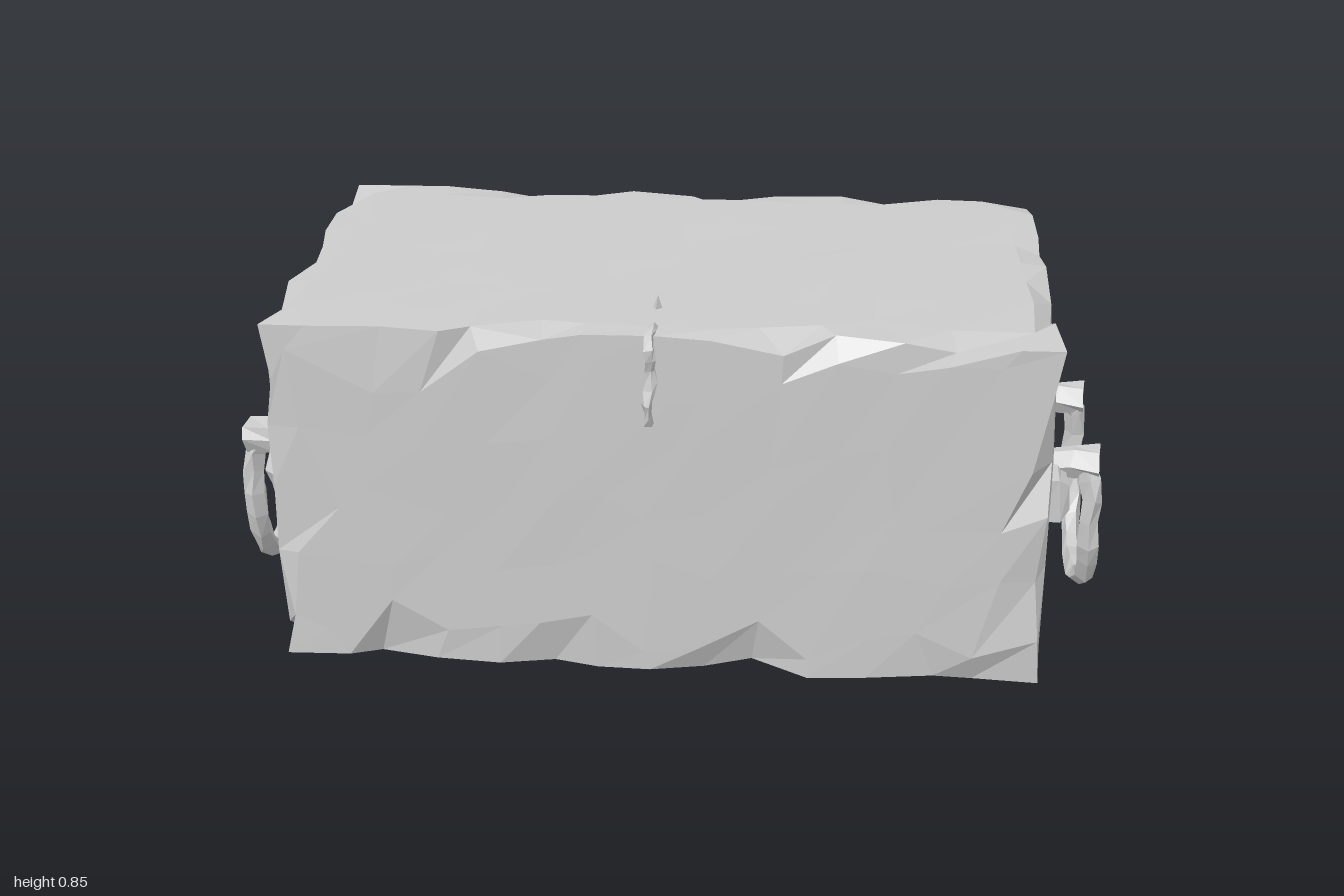
import * as THREE from 'three';
import { mergeVertices } from 'three/addons/utils/BufferGeometryUtils.js';

const material = new THREE.MeshStandardMaterial({ color: 0xcccccc, flatShading: true, side: THREE.DoubleSide });

// small seeded generator, 0..1
function seeded(seed) {
  return () => {
    seed = (seed * 16807) % 2147483647;
    return seed / 2147483647;
  };
}

// weld the corners, move each one by a rule, then split into flat facets
function facet(geometry, move) {
  geometry.deleteAttribute('normal');
  geometry.deleteAttribute('uv');
  const welded = mergeVertices(geometry, 1e-4);
  const pos = welded.attributes.position;
  const v = new THREE.Vector3();
  for (let i = 0; i < pos.count; i++) {
    move(v.fromBufferAttribute(pos, i));
    pos.setXYZ(i, v.x, v.y, v.z);
  }
  const flat = welded.toNonIndexed();
  flat.computeVertexNormals();
  return flat;
}

function rough(geometry, amount, seed) {
  const rnd = seeded(seed);
  return facet(geometry, (v) => {
    for (const a of ['x', 'y', 'z']) v[a] += (rnd() * 2 - 1) * amount;
  });
}

function part(name, geometry, x = 0, y = 0, z = 0) {
  const mesh = new THREE.Mesh(geometry, material);
  mesh.name = name;
  mesh.position.set(x, y, z);
  return mesh;
}

// block with flat faces and chipped, worn edges
function chippedBlock(size, segments) {
  const rnd = seeded(4711);
  const axes = ['x', 'y', 'z'];
  return facet(new THREE.BoxGeometry(...size, ...segments), (v) => {
    const p = v.toArray();
    const outer = p.map((c, i) => Math.abs(Math.abs(c) - size[i] / 2) < 1e-4);
    const count = outer.filter(Boolean).length;
    axes.forEach((a, i) => {
      const half = size[i] / 2;
      const step = size[i] / segments[i];
      const sign = Math.sign(p[i]);
      if (outer[i]) {
        const wear = count === 1 ? 0.003 * rnd() : count === 2 ? 0.002 + 0.045 * rnd() ** 3 : 0.018 * rnd();
        v[a] = sign * (half - wear);
      } else if (count === 1 && Math.abs(p[i]) > half - 1.5 * step) {
        v[a] = sign * (half - 0.05 - 0.11 * rnd() ** 2);
      } else {
        v[a] += (rnd() - 0.5) * 0.07;
      }
    });
  });
}

// hanging handle on the +x end
function createHandle(seed) {
  const handle = new THREE.Group();

  // wavy mounting plate, outline as [z, y]
  const outline = [[0.28, 0.43], [0.13, 0.43], [0.03, 0.35], [-0.04, 0.33], [-0.14, 0.34], [-0.16, 0.46], [-0.22, 0.48],
    [-0.31, 0.39], [-0.29, 0.33], [-0.15, 0.29], [-0.09, 0.23], [0.0, 0.21], [0.1, 0.25], [0.13, 0.33], [0.28, 0.33]];
  const shape = new THREE.Shape(outline.map(([z, y]) => new THREE.Vector2(-z, y)));
  const plate = new THREE.ExtrudeGeometry(shape, {
    depth: 0.045, bevelThickness: 0.02, bevelSize: 0.02, bevelOffset: -0.02, bevelSegments: 1,
  });
  plate.rotateY(Math.PI / 2);
  handle.add(part('handlePlate', rough(plate, 0.007, seed), 0.84, 0, 0));

  // boss in the middle of the plate
  const boss = new THREE.IcosahedronGeometry(1, 1);
  boss.scale(0.035, 0.045, 0.085);
  handle.add(part('plateBoss', rough(boss, 0.008, seed + 1), 0.9, 0.28, 0));

  // hinge lugs
  for (const z of [0.17, -0.185]) {
    const lug = new THREE.CylinderGeometry(0.034, 0.042, 0.12, 6, 2);
    lug.rotateZ(Math.PI / 2);
    handle.add(part('hingeLug', rough(lug, 0.008, seed + 2), 0.915, 0.425, z));
  }

  // swinging bail, as [x, y, z]
  const path = new THREE.CatmullRomCurve3([
    [0.94, 0.44, 0.165], [0.965, 0.37, 0.185], [0.965, 0.25, 0.195], [0.97, 0.14, 0.155], [0.97, 0.08, 0.06],
    [0.97, 0.075, -0.08], [0.97, 0.14, -0.16], [0.965, 0.25, -0.195], [0.965, 0.37, -0.19], [0.94, 0.44, -0.18],
  ].map((p) => new THREE.Vector3(...p)));
  handle.add(part('handleBail', rough(new THREE.TubeGeometry(path, 18, 0.023, 5), 0.006, seed + 3)));
  return handle;
}

export function createModel() {
  const model = new THREE.Group();
  model.name = 'chest';
  model.add(part('chestBody', chippedBlock([1.7, 0.82, 0.95], [14, 6, 8]), 0, 0.41, -0.015));

  // one handle on each end, turned half way round
  for (const [name, angle, seed] of [['leftHandle', 0, 31], ['rightHandle', Math.PI, 97]]) {
    const handle = createHandle(seed);
    handle.name = name;
    handle.rotation.y = angle;
    model.add(handle);
  }

  // narrow ragged latch over the front edge
  const strip = new THREE.CatmullRomCurve3([
    [-0.01, 0.62, 0.465], [-0.015, 0.66, 0.477], [-0.01, 0.73, 0.462], [-0.01, 0.8, 0.47], [-0.01, 0.822, 0.45], [-0.005, 0.82, 0.41],
  ].map((p) => new THREE.Vector3(...p)));
  model.add(part('latchStrip', rough(new THREE.TubeGeometry(strip, 10, 0.012, 5), 0.005, 11)));
  model.add(part('latchTip', rough(new THREE.ConeGeometry(0.014, 0.04, 4), 0.003, 19), -0.01, 0.827, 0.3));
  return model;
}
